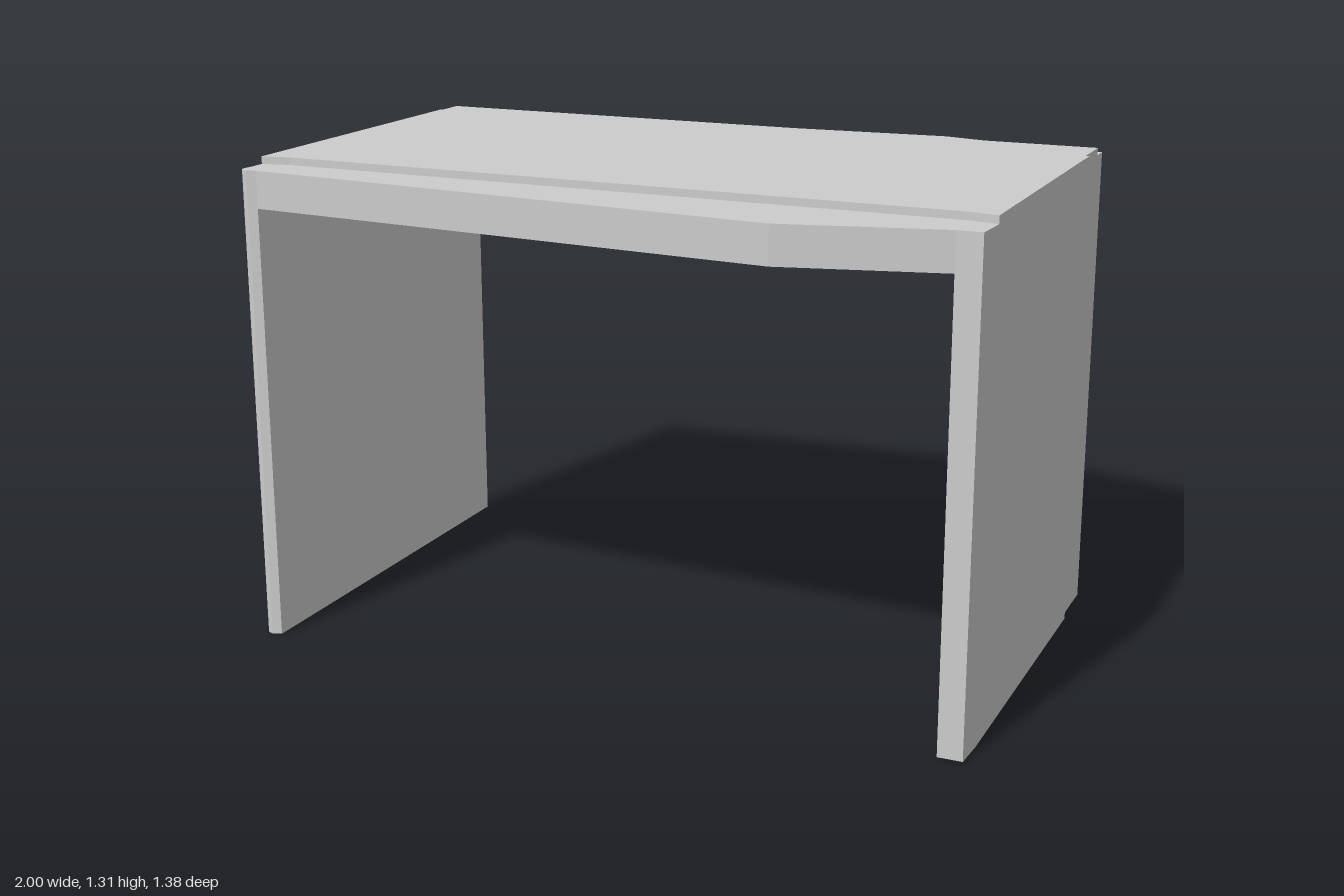
import * as THREE from 'three';

const material = new THREE.MeshStandardMaterial({ color: 0xcccccc, flatShading: true });

// Extrude a plan outline of [x, z] points upwards from y0 to y1
function slab(name, outline, y0, y1) {
  const shape = new THREE.Shape(outline.map(([x, z]) => new THREE.Vector2(x, -z)));
  const geometry = new THREE.ExtrudeGeometry(shape, { depth: y1 - y0, bevelEnabled: false });
  geometry.rotateX(-Math.PI / 2);
  geometry.translate(0, y0, 0);
  const mesh = new THREE.Mesh(geometry, material);
  mesh.name = name;
  return mesh;
}

export function createModel() {
  const group = new THREE.Group();
  group.name = 'table';
  const legTop = 1.19, deckTop = 1.29, panelTop = 1.31;

  // Outer edge of the right side, with a rounded bead at each corner
  const rightEdge = [
    [-0.95, -0.59], [-0.975, -0.595], [-0.99, -0.588], [-1, -0.57], [-1, -0.55], [-0.99, -0.535],
    [-0.99, -0.45], [-0.997, -0.45], [-0.997, 0.53], [-1, 0.55], [-1, 0.57], [-0.99, 0.583],
    [-0.975, 0.588], [-0.95, 0.58],
  ];
  // Outer edge of the left side, with a shallow step near the back
  const leftEdge = [
    [0.93, 0.59], [0.995, 0.59], [1, 0.5], [1, -0.4], [0.99, -0.4], [0.99, -0.595], [0.93, -0.595],
  ];

  // Side panels that stand on the floor
  group.add(slab('rightSidePanel', rightEdge, 0, legTop));
  group.add(slab('leftSidePanel', leftEdge, 0, legTop));

  // Deck with a peaked front and back edge
  group.add(slab('deck', [...rightEdge, [0.52, 0.69], ...leftEdge, [0.52, -0.69]], legTop, deckTop));

  // Thin raised top panel
  group.add(slab('raisedTop', [
    [-0.99, -0.535], [-0.99, -0.45], [-0.997, -0.45], [-0.997, 0.485], [-0.92, 0.47],
    [0.92, 0.47], [1, 0.485], [1, -0.4], [0.99, -0.4], [0.99, -0.54],
  ], deckTop, panelTop));

  return group;
}
